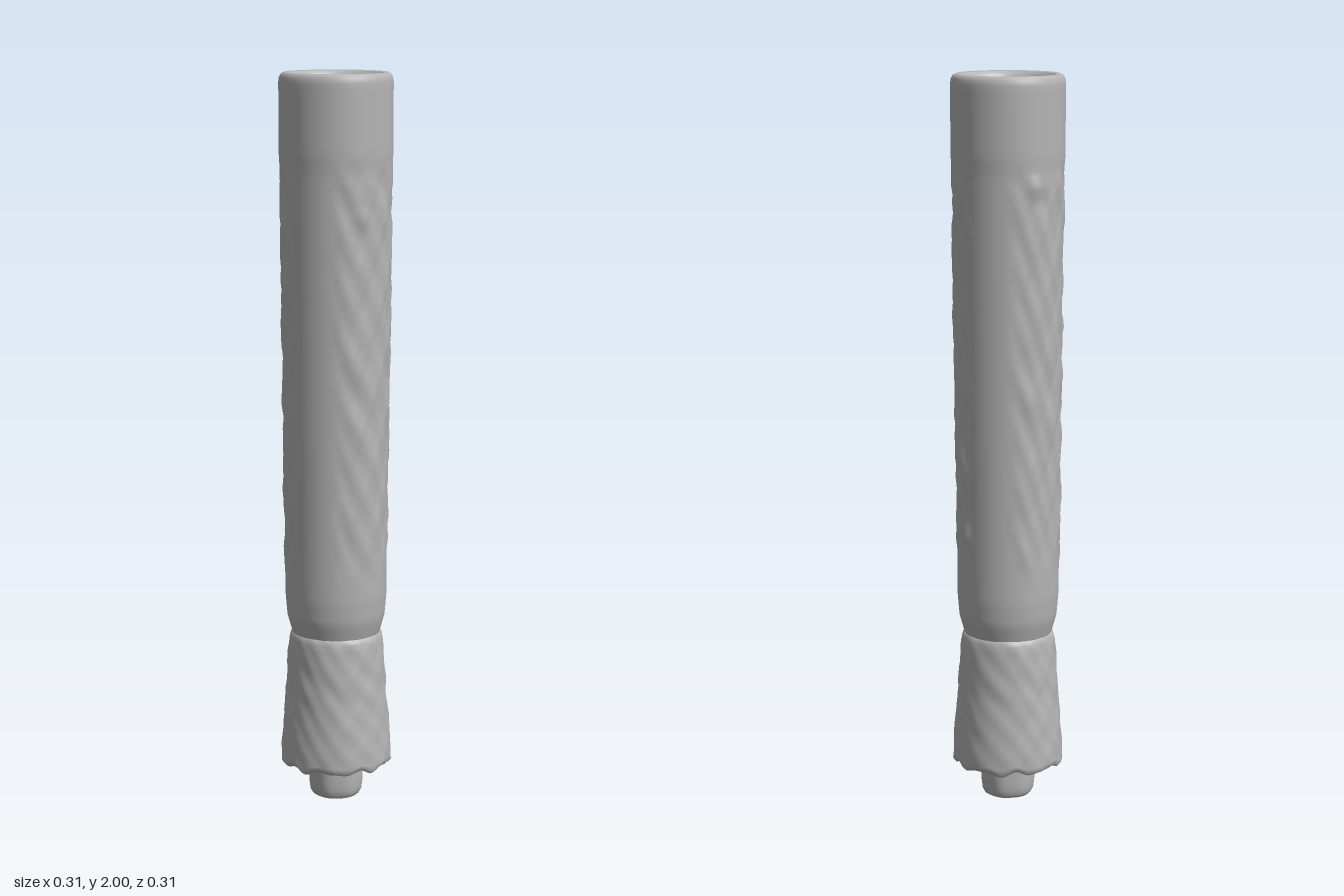
import * as THREE from 'three';
import { mergeVertices } from 'three/addons/utils/BufferGeometryUtils.js';

const smooth = THREE.MathUtils.smoothstep;

// Soft, repeatable lumps that close seamlessly around the axis
function lumps(a, y) {
  return 0.4 * Math.sin(5 * a + 17 * y + 2 * Math.sin(11 * y))
    + 0.35 * Math.sin(9 * a - 31 * y + 1.3)
    + 0.3 * Math.sin(14 * a + 43 * y + Math.sin(3 * a))
    + 0.25 * Math.sin(23 * a - 67 * y);
}

// Revolve [radius, y] points (outside faces run bottom to top), then move the vertices by a rule
function revolve(points, rule, step = 0.02, segments = 120) {
  const profile = [];
  points.forEach(([r, y], i) => {
    const next = points[i + 1];
    if (!next) { profile.push(new THREE.Vector2(r, y)); return; }
    const n = Math.max(1, Math.ceil(Math.hypot(next[0] - r, next[1] - y) / step));
    for (let k = 0; k < n; k++) {
      profile.push(new THREE.Vector2(r + (next[0] - r) * k / n, y + (next[1] - y) * k / n));
    }
  });
  let g = new THREE.LatheGeometry(profile, segments);
  const p = g.attributes.position;
  for (let i = 0; i < p.count; i++) {
    const x = p.getX(i), y = p.getY(i), z = p.getZ(i), r = Math.hypot(x, z);
    const a = Math.atan2(x, z);
    const [nr, ny] = rule(r, y, a);
    p.setXYZ(i, Math.sin(a) * nr, ny, Math.cos(a) * nr);
  }
  g.deleteAttribute('uv');
  g.deleteAttribute('normal');
  g = mergeVertices(g, 1e-5);
  g.computeVertexNormals();
  return g;
}

export function createModel() {
  const model = new THREE.Group();
  const grey = new THREE.MeshStandardMaterial({ color: 0xb4b4b4 });
  grey.name = 'plain grey';
  const add = (name, geometry) => {
    const mesh = new THREE.Mesh(geometry, grey);
    mesh.name = name;
    model.add(mesh);
  };

  // Larger single knobs on the shaft: angle, height, size
  const knobs = [[-2.26, 1.71, 0.013], [2.5, 1.72, 0.005], [0.95, 1.62, 0.006],
    [-1.2, 1.33, 0.006], [2.4, 0.97, 0.006], [2.5, 0.77, 0.006], [-0.9, 0.99, 0.005]];

  // Long shaft: smooth collar and front and back strips, lumpy sides
  add('shaft', revolve([[0.118, 0.465], [0.124, 0.485], [0.134, 0.52], [0.139, 0.58],
    [0.142, 0.9], [0.147, 1.4], [0.15, 1.74], [0.153, 1.79], [0.153, 1.975],
    [0.151, 1.988], [0.146, 1.996], [0.138, 2], [0.127, 1.998]],
  (r, y, a) => {
    const side = smooth(Math.abs(Math.sin(a)), 0.3, 0.65);
    const band = smooth(y, 0.6, 0.75) * (1 - smooth(y, 1.7, 1.78));
    let d = 0.0045 * side * band * lumps(a, y);
    for (const [ka, ky, size] of knobs) {
      const da = Math.atan2(Math.sin(a - ka), Math.cos(a - ka)) * 0.15;
      d += size * Math.exp(-(da * da + (y - ky) ** 2) / 0.0005);
    }
    return [r + d, y];
  }));

  // Bore: ring of inward teeth below a soft rim, closed by an uneven floor
  add('flutedBore', revolve([[0.127, 1.998], [0.118, 1.99], [0.112, 1.975], [0.106, 1.95],
    [0.102, 1.91], [0.1, 1.8], [0.098, 1.72], [0.085, 1.7], [0, 1.695]],
  (r, y, a) => {
    const depth = 1 - smooth(y, 1.925, 1.992);
    const tooth = Math.pow(0.5 + 0.5 * Math.cos(10 * a - 0.3 * Math.sin(2 * a)), 1.6);
    const strength = 0.024 + 0.005 * Math.sin(3 * a + 1);
    const nearWall = smooth(r, 0.05, 0.095);
    const sag = r < 0.09 ? 0.006 * Math.sin(3 * a) * (r / 0.09) : 0;
    return [r - depth * nearWall * (strength * tooth - 0.006), y + sag];
  }, 0.012, 160));

  // Flared skirt: rough skin, ragged lower lip, hollow underneath
  add('flaredSkirt', revolve([[0.06, 0.2], [0.105, 0.195], [0.118, 0.17], [0.128, 0.12],
    [0.134, 0.104], [0.144, 0.1], [0.152, 0.108], [0.151, 0.15], [0.146, 0.22],
    [0.139, 0.3], [0.133, 0.4], [0.129, 0.45], [0.125, 0.468], [0.115, 0.478]],
  (r, y, a) => {
    const lip = 1 - smooth(y, 0.1, 0.15);
    const skin = smooth(r, 0.115, 0.128) * 0.0022;
    const inner = r < 0.14 && y < 0.2 ? 0.006 * Math.cos(10 * a) * smooth(r, 0.07, 0.11) : 0;
    return [r + skin * lumps(a * 1 + 0, y * 1.7) + inner,
      y + lip * (0.005 * Math.sin(9 * a) + 0.003 * Math.sin(14 * a + 1))];
  }, 0.012));

  // Short plug at the foot
  add('footPlug', revolve([[0, 0], [0.055, 0.001], [0.064, 0.005], [0.07, 0.016],
    [0.073, 0.04], [0.074, 0.09], [0.079, 0.14], [0.085, 0.21]],
  (r, y, a) => [r * (1 + 0.02 * Math.cos(6 * a) * smooth(r, 0.02, 0.06)), y], 0.02, 64));

  return model;
}
